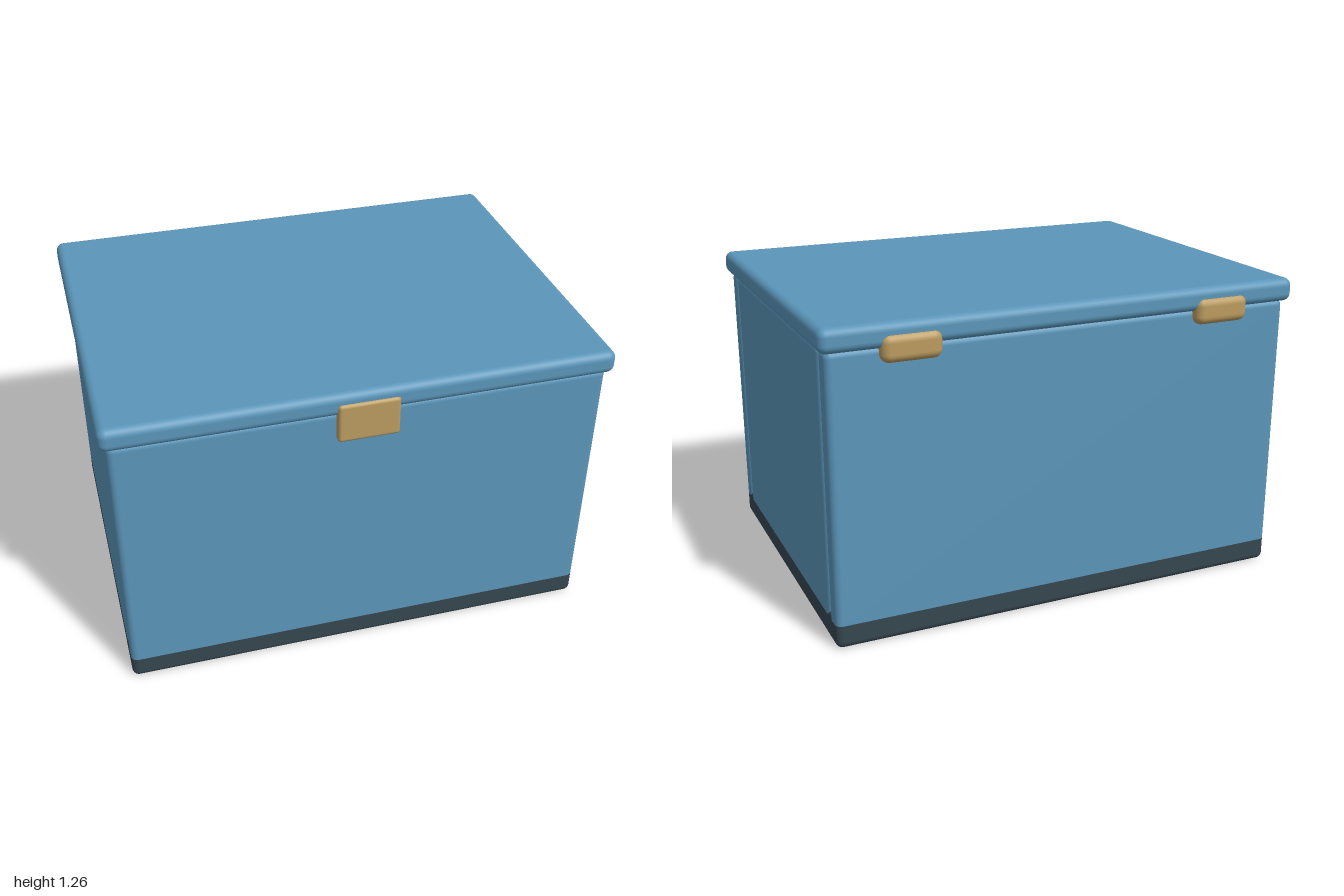
import * as THREE from 'three';
import { RoundedBoxGeometry } from 'three/addons/geometries/RoundedBoxGeometry.js';

const paint = new THREE.MeshStandardMaterial({ color: 0x5b96ba });
const dark = new THREE.MeshStandardMaterial({ color: 0x364650 });
const brass = new THREE.MeshStandardMaterial({ color: 0xbc9c60 });

export function createModel() {
  const model = new THREE.Group();
  model.name = 'chest';

  // Rounded block given by its [min, max] range on each axis
  function block(name, x, y, z, radius, material) {
    const size = [x, y, z].map(([a, b]) => b - a);
    const mesh = new THREE.Mesh(new RoundedBoxGeometry(...size, 4, radius), material);
    mesh.position.set((x[0] + x[1]) / 2, (y[0] + y[1]) / 2, (z[0] + z[1]) / 2);
    mesh.name = name;
    model.add(mesh);
  }

  const halfW = 0.975, front = 0.733, back = -0.726, wall = 0.092, r = 0.028;
  const wallY = [0.07, 1.175];

  // Base slab, its rounded top edge tucked into the walls
  block('base', [-halfW, halfW], [0, 0.126], [back, front], r, dark);

  // Front and back boards run full width; side panels sit between them
  block('frontWall', [-halfW, halfW], wallY, [front - wall, front], r, paint);
  block('backWall', [-halfW, halfW], wallY, [back, back + wall], r, paint);
  for (const [side, s] of [['left', 1], ['right', -1]]) {
    const x = [s * halfW, s * (halfW - wall)].sort((a, b) => a - b);
    block(side + 'Wall', x, wallY, [back + wall, front - wall], r, paint);
  }

  // Overhanging lid
  block('lid', [-1, 1], [1.168, 1.264], [-0.752, 0.759], 0.033, paint);

  // Front clasp
  block('clasp', [-0.122, 0.122], [1.057, 1.223], [0.725, 0.769], 0.015, brass);

  // Back hinges
  for (const [side, s] of [['left', 1], ['right', -1]]) {
    const cx = s * 0.655;
    block(side + 'Hinge', [cx - 0.118, cx + 0.118], [1.113, 1.223], [-0.767, -0.69], 0.034, brass);
  }
  return model;
}
